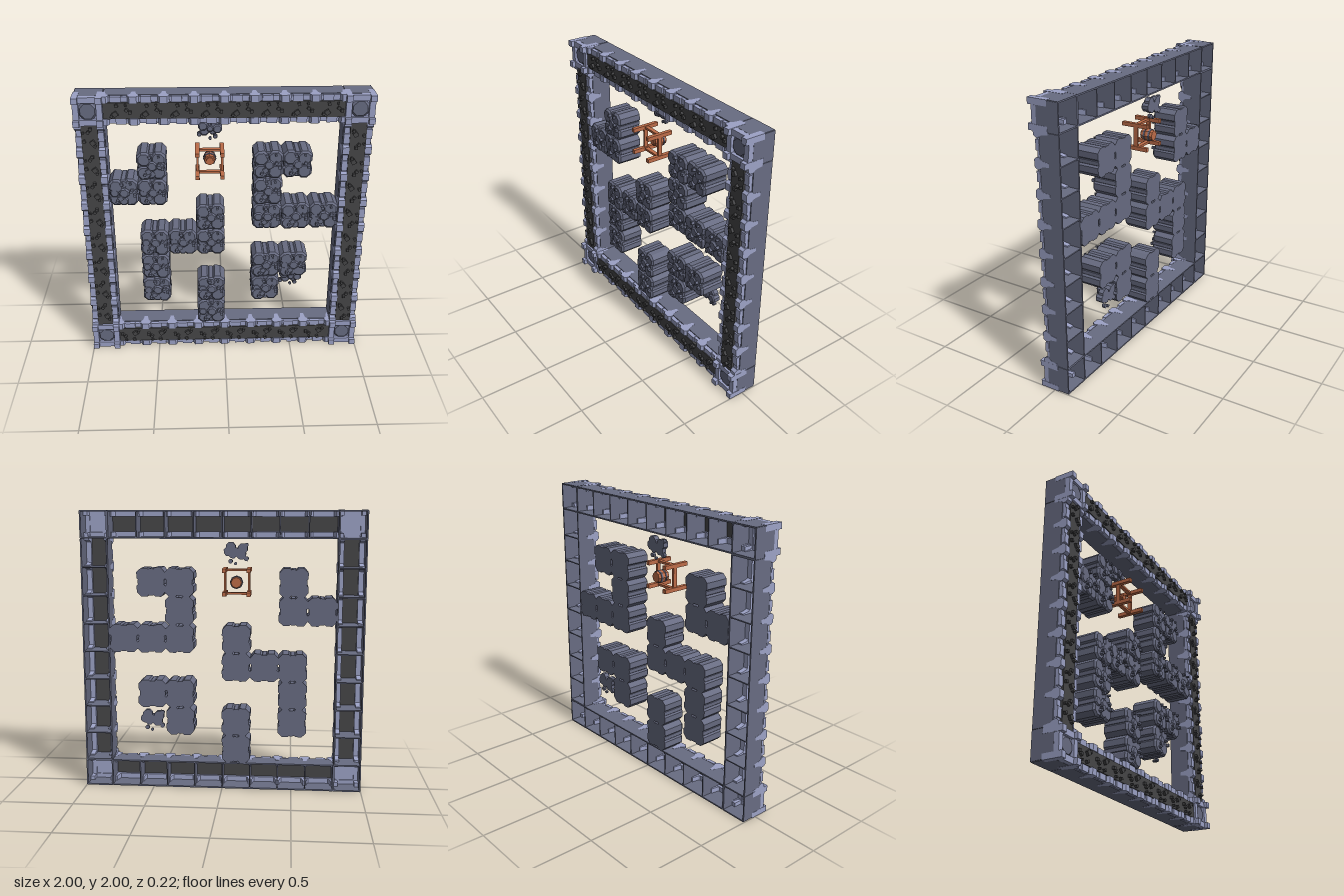
import * as THREE from 'three';

const mat = (name, color) => {
  const m = new THREE.MeshStandardMaterial({ color, flatShading: true });
  m.name = name;
  return m;
};

export function createModel() {
  const trim = mat('pale trim stone', 0x9ca2c6);
  const slate = mat('slate', 0x686c82);
  const charcoal = mat('charcoal earth', 0x464648);
  const wood = mat('timber', 0xbd6c48);
  const BACK = -0.11;

  let seed = 7;
  const rand = () => (seed = (seed * 16807) % 2147483647) / 2147483647;

  const group = (parent, name, x = 0, y = 0) => {
    const g = new THREE.Group();
    g.name = name;
    g.position.set(x, y, 0);
    parent.add(g);
    return g;
  };
  const add = (parent, name, geo, material) => {
    const m = new THREE.Mesh(geo, material);
    m.name = name;
    parent.add(m);
    return m;
  };
  // Box given by centre x, y, size w, h and a z range
  const box = (parent, name, material, x, y, w, h, z0, z1) => {
    const m = add(parent, name, new THREE.BoxGeometry(w, h, z1 - z0), material);
    m.position.set(x, y, (z0 + z1) / 2);
    return m;
  };
  // Chamfered stone column; the front edge is bevelled, the back is flat
  const rock = (parent, name, material, x, y, r, z0, z1, sides = 8, square = 0) => {
    const pts = [];
    for (let i = 0; i < sides; i++) {
      const a = ((i + 0.5) / sides) * Math.PI * 2;
      const k = r * (1 + square * 0.08) * (0.96 + 0.08 * rand());
      pts.push(new THREE.Vector2(Math.cos(a) * k, Math.sin(a) * k));
    }
    const b = Math.min(r * 0.25, 0.014);
    const geo = new THREE.ExtrudeGeometry(new THREE.Shape(pts), {
      depth: z1 - z0 - b, bevelEnabled: true, bevelThickness: b, bevelSize: b, bevelOffset: -b, bevelSegments: 1,
    });
    // Push the rear bevel out into a straight side
    const p = geo.attributes.position;
    for (let i = 0; i < p.count; i++) if (p.getZ(i) < -1e-6) p.setZ(i, 0);
    const m = add(parent, name, geo, material);
    m.position.set(x, y, z0);
    return m;
  };
  // Small stones scattered on the front of a cell: x, y, size
  const PEBBLES = [[-0.01, 0.07, 0.02], [0.055, 0.015, 0.02], [0.078, -0.015, 0.02],
    [-0.02, -0.035, 0.032], [-0.045, -0.06, 0.018], [0.05, 0.075, 0.014]];
  const pebbles = (parent, material, z, squash = 1) => PEBBLES.forEach(([x, y, s], i) => {
    const m = box(parent, 'pebble', material, x, y * squash, s, s, z, z + 0.022);
    m.rotation.z = 0.35 + i * 0.6;
  });

  const root = new THREE.Group();
  root.name = 'maze';

  // Buttress outline: narrow foot flaring to a wide head
  const buttressGeo = new THREE.ExtrudeGeometry(new THREE.Shape(
    [[-0.012, -0.03], [0.012, -0.03], [0.02, 0.02], [0.038, 0.042], [0.038, 0.06], [0.024, 0.078],
      [-0.024, 0.078], [-0.038, 0.06], [-0.038, 0.042], [-0.02, 0.02]].map(([x, y]) => new THREE.Vector2(x, y)),
  ), { depth: 0.045, bevelEnabled: false }).rotateX(Math.PI / 2).translate(0, 0.0225, 0);

  // Border: four sides of eight open-backed cells, plus a corner each
  const border = group(root, 'border', 0, 1);
  for (let k = 0; k < 4; k++) {
    const side = group(border, 'borderSide');
    side.rotation.z = (k * Math.PI) / 2;
    for (let i = 0; i < 8; i++) {
      const cell = group(side, 'wallCell', -0.7 + i * 0.2, 0.9);
      for (const s of [-1, 1]) {
        box(cell, 'wallPanel', slate, 0, s * 0.093, 0.2, 0.01, BACK, 0.035);
        box(cell, 'ledge', trim, 0, s * 0.072, 0.2, 0.04, 0.03, 0.056);
        box(cell, 'brick', trim, -0.015 * s, s * 0.074, 0.07, 0.044, 0.04, 0.066);
      }
      box(cell, 'divider', slate, 0.1, 0, 0.008, 0.18, BACK, 0.05);
      box(cell, 'walkway', charcoal, 0, 0, 0.2, 0.112, 0.05, 0.072);
      pebbles(cell, charcoal, 0.068, 0.55);
    }
    for (let i = 0; i < 9; i++) for (const s of [-1, 1]) {
      add(side, 'buttress', buttressGeo, trim).position.set(-0.8 + i * 0.2, 0.9 + s * 0.0765, 0);
    }

    // Corner tower
    const tower = group(side, 'cornerTower', 0.9, 0.9);
    for (const s of [-1, 1]) {
      box(tower, 'towerPanel', slate, 0, s * 0.094, 0.19, 0.01, BACK, 0.05);
      box(tower, 'towerPanel', slate, s * 0.094, 0, 0.01, 0.19, BACK, 0.05);
      box(tower, 'towerRim', trim, 0, s * 0.078, 0.19, 0.04, 0.03, 0.085);
      box(tower, 'towerRim', trim, s * 0.078, 0, 0.04, 0.19, 0.03, 0.085);
      for (const t of [-1, 1]) {
        box(tower, 'towerPost', trim, s * 0.08, t * 0.08, 0.04, 0.04, -0.03, 0.06);
        box(tower, 'towerPostCap', trim, s * 0.079, t * 0.079, 0.042, 0.042, 0.06, 0.11);
      }
    }
    box(tower, 'towerFloor', trim, 0, 0, 0.14, 0.14, 0.04, 0.06);
    rock(tower, 'towerSlab', slate, 0, 0, 0.063, 0.05, 0.075, 8, 1);
  }

  // Inner stone blocks: column and row of each 0.2 cell
  const CELLS = [[2, 7], [1, 6], [2, 6], [6, 7], [7, 7], [6, 6], [6, 5], [7, 5], [8, 5], [4, 5],
    [2, 4], [3, 4], [4, 4], [2, 3], [2, 2], [4, 2], [4, 1], [6, 3], [7, 3], [6, 2]];
  const blocks = group(root, 'stoneBlocks');
  for (const [c, r] of CELLS) {
    const block = group(blocks, 'stoneBlock', -0.9 + c * 0.2, 0.1 + r * 0.2);
    box(block, 'blockCore', slate, 0, 0, 0.178, 0.11, BACK, 0.05);
    box(block, 'blockCore', slate, 0, 0, 0.11, 0.178, BACK, 0.05);
    for (const sx of [-1, 1]) for (const sy of [-1, 1]) {
      rock(block, 'blockColumn', slate, sx * 0.049, sy * 0.049, 0.052, BACK, 0.062 + rand() * 0.016, 8, 1);
    }
    for (const s of [-1, 1]) {
      rock(block, 'edgeColumn', slate, 0, s * 0.062, 0.034, BACK, 0.06 + rand() * 0.015);
      rock(block, 'edgeColumn', slate, s * 0.062, 0, 0.034, BACK, 0.06 + rand() * 0.015);
    }
    rock(block, 'blockCrown', slate, 0.005, 0, 0.04, 0, 0.078, 7);
    pebbles(block, slate, 0.068);
  }

  // Rubble heaps lying at the back level: x, y, radius, height
  const RUBBLE = [[-0.045, 0.02, 0.037, 0.05], [0.038, 0.03, 0.036, 0.045], [0.055, 0, 0.034, 0.055],
    [-0.035, -0.02, 0.036, 0.04], [0.004, 0.005, 0.024, 0.06], [0.025, -0.018, 0.03, 0.04],
    [-0.07, -0.05, 0.017, 0.025], [0.04, -0.067, 0.016, 0.025], [0.005, -0.083, 0.011, 0.018],
    [-0.07, 0.045, 0.015, 0.025]];
  for (const [x, y] of [[-0.1, 1.716], [0.5, 0.516]]) {
    const heap = group(root, 'rubbleHeap', x, y);
    for (const [rx, ry, r, h] of RUBBLE) rock(heap, 'rubble', slate, rx, ry, r, BACK, BACK + h);
  }

  // Timber frame: four long posts joined by a square of rails, with a barrel inside
  const frame = group(root, 'timberFrame', -0.1, 1.5);
  for (const s of [-1, 1]) {
    for (const t of [-1, 1]) box(frame, 'post', wood, s * 0.085, t * 0.083, 0.028, 0.028, BACK, 0.09);
    box(frame, 'rail', wood, 0, s * 0.083, 0.17, 0.016, -0.03, 0);
    box(frame, 'rail', wood, s * 0.085, 0, 0.016, 0.17, -0.03, 0);
  }
  const barrel = group(frame, 'barrel');
  const drum = (name, material, r0, r1, z0, z1) => {
    const geo = new THREE.CylinderGeometry(r1, r0, z1 - z0, 8).rotateX(Math.PI / 2);
    add(barrel, name, geo, material).position.z = (z0 + z1) / 2;
  };
  drum('barrelBody', wood, 0.036, 0.045, BACK, -0.07);
  drum('barrelBody', wood, 0.045, 0.036, -0.07, -0.02);
  drum('barrelHoop', slate, 0.045, 0.047, -0.092, -0.08);
  drum('barrelHoop', slate, 0.047, 0.045, -0.055, -0.043);
  drum('barrelLid', wood, 0.026, 0.024, -0.02, -0.012);

  return root;
}
